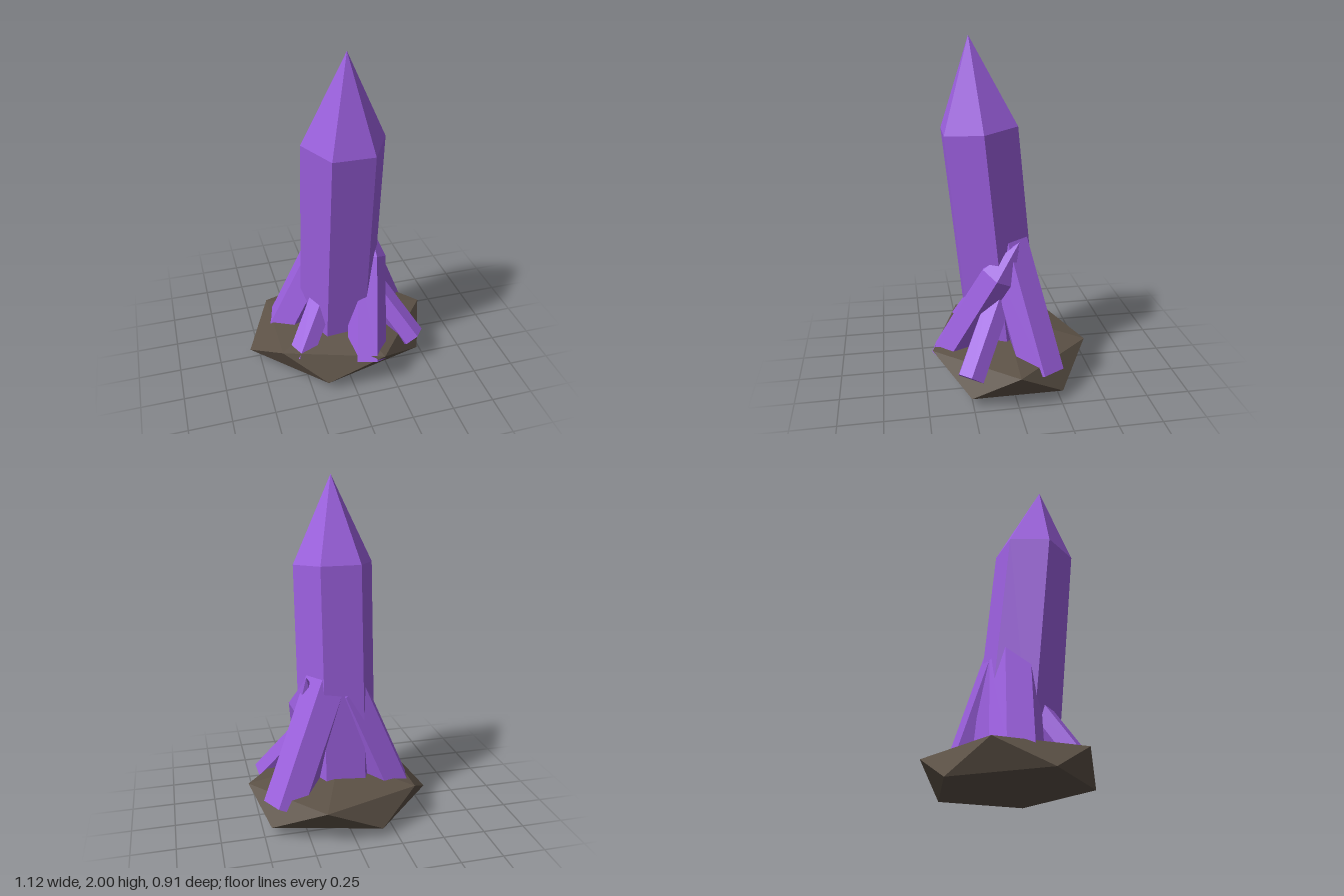
import * as THREE from 'three';
import { ConvexGeometry } from 'three/addons/geometries/ConvexGeometry.js';

export function createModel() {
  const model = new THREE.Group();
  model.name = 'crystalCluster';

  const purple = new THREE.MeshStandardMaterial({ color: 0x9b5fde, flatShading: true });
  purple.name = 'purple crystal';
  const stone = new THREE.MeshStandardMaterial({ color: 0x5c5146, flatShading: true });
  stone.name = 'brown stone';

  // Six-sided prism with a pointed end, grown from base along dir, one flat side facing outward
  function addCrystal(name, base, dir, radius, body, tip, twist = 0) {
    const profile = [[0, 0], [radius, 0], [radius, body], [0, body + tip]]
      .map(([x, y]) => new THREE.Vector2(x, y));
    const geometry = new THREE.LatheGeometry(profile, 6, Math.PI / 6 + twist);
    const up = new THREE.Vector3(...dir).normalize();
    const side = new THREE.Vector3().crossVectors(up, new THREE.Vector3(-dir[0], 0, -dir[2])).normalize();
    const out = new THREE.Vector3().crossVectors(side, up);
    const mesh = new THREE.Mesh(geometry, purple);
    mesh.name = name;
    mesh.quaternion.setFromRotationMatrix(new THREE.Matrix4().makeBasis(side, up, out));
    mesh.position.set(...base);
    model.add(mesh);
  }

  // Tall crystal leaning slightly forward
  addCrystal('mainCrystal', [0, 0.12, 0.01], [0, 1, 0.1], 0.235, 1.387, 0.5);

  // Smaller crystals leaning in against it
  addCrystal('backLeftCrystal', [0.356, 0.125, -0.156], [-0.42, 1, 0.23], 0.14, 0.8, 0.27);
  addCrystal('backRightCrystal', [-0.3, 0.14, -0.09], [0.415, 1, 0.147], 0.14, 0.68, 0.27, 0.12);
  addCrystal('frontLeftCrystal', [0.414, 0.16, 0.26], [-0.66, 1, -0.54], 0.083, 0.48, 0.16);
  addCrystal('frontRightCrystal', [-0.29, 0.15, 0.24], [0.58, 1, -0.45], 0.085, 0.44, 0.16);
  addCrystal('frontCrystal', [0.095, 0.14, 0.357], [0.15, 1, -0.55], 0.115, 0.62, 0.23);

  // Faceted rock: a flattened twenty-sided solid, mirrored front to back
  const points = [[0, 0, 0], [0, 0.32, 0], [-0.56, 0.06, 0], [0.557, 0.22, 0]];
  for (const s of [-1, 1]) {
    points.push([-0.16, 0.06, 0.417 * s], [0.46, 0.06, 0.26 * s]);
    points.push([0.175, 0.22, 0.455 * s], [-0.4, 0.22, 0.265 * s]);
  }
  const rock = new THREE.Mesh(
    new ConvexGeometry(points.map((p) => new THREE.Vector3(...p))), stone);
  rock.name = 'rockBase';
  model.add(rock);

  return model;
}
